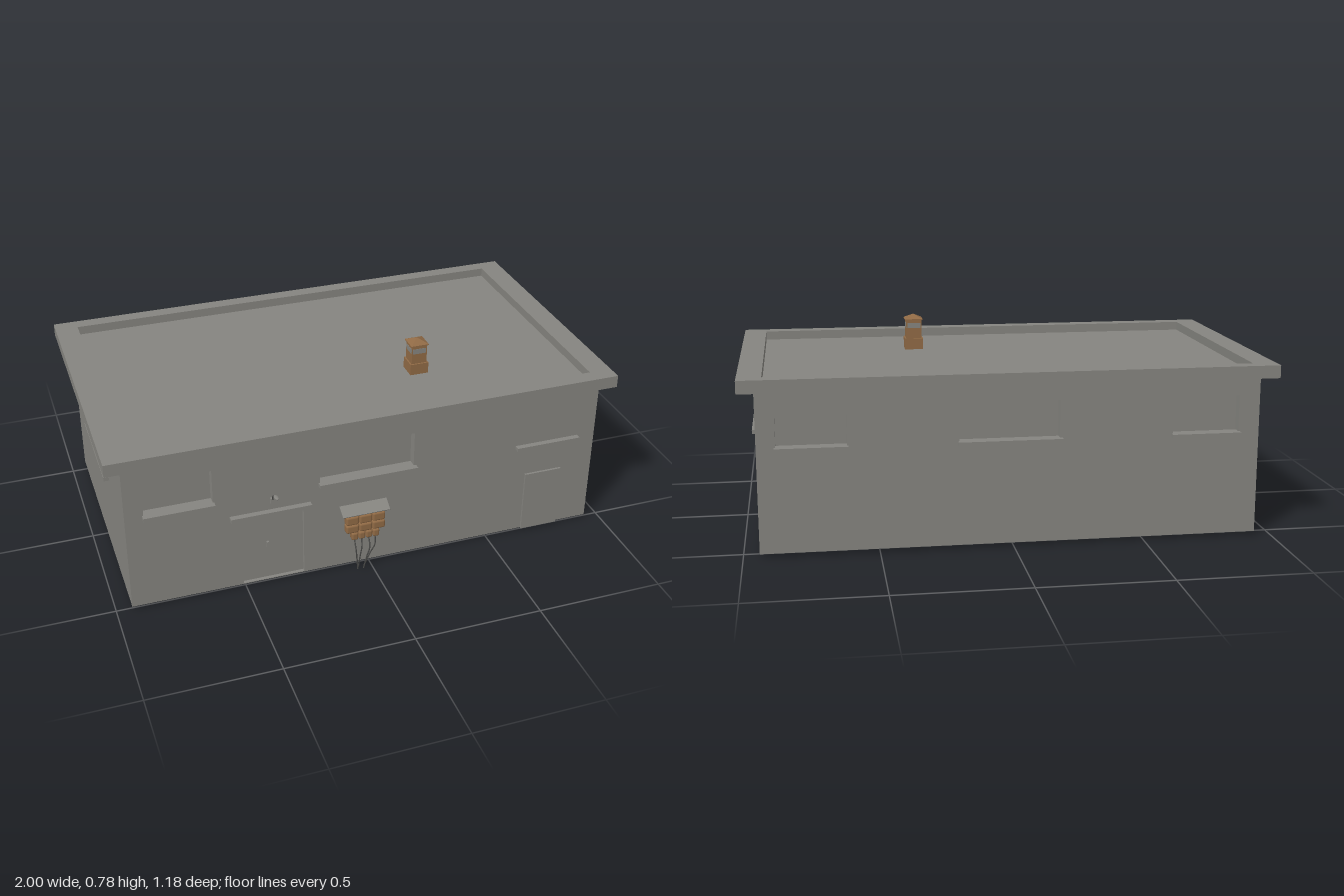
import * as THREE from 'three';
import { RoundedBoxGeometry } from 'three/addons/geometries/RoundedBoxGeometry.js';

const material = (name, color) => {
  const m = new THREE.MeshStandardMaterial({ color });
  m.name = name;
  return m;
};

export function createModel() {
  const concrete = material('concrete', 0x85847f);
  const brick = material('brownBrick', 0x906a45);
  const cableGrey = material('cableGrey', 0x4a4a48);

  const model = new THREE.Group();
  model.name = 'bunkerHouse';

  const add = (name, geometry, mat, parent = model) => {
    const mesh = new THREE.Mesh(geometry, mat);
    mesh.name = name;
    parent.add(mesh);
    return mesh;
  };
  // Box given by its minimum and maximum on each axis
  const box = (name, x0, x1, y0, y1, z0, z1, mat = concrete, parent = model) => {
    const mesh = add(name, new THREE.BoxGeometry(x1 - x0, y1 - y0, z1 - z0), mat, parent);
    mesh.position.set((x0 + x1) / 2, (y0 + y1) / 2, (z0 + z1) / 2);
    return mesh;
  };
  const rect = (Type, x0, x1, y0, y1) => {
    const s = new Type();
    s.moveTo(x0, y0);
    s.lineTo(x1, y0);
    s.lineTo(x1, y1);
    s.lineTo(x0, y1);
    s.closePath();
    return s;
  };

  // House dimensions
  const X = 0.94, ZF = 0.51, ZB = -0.545, Y0 = 0.015, Y1 = 0.63, T = 0.035;
  box('innerCore', -X + T, X - T, Y0, Y1, ZB + T, ZF - T);

  // Wall seen from outside, with cut openings and projecting sills
  function wall(name, x0, x1, openings, sills, angle, px, pz) {
    const g = new THREE.Group();
    g.name = name;
    const shape = rect(THREE.Shape, x0, x1, Y0, Y1);
    openings.forEach(o => shape.holes.push(rect(THREE.Path, ...o)));
    add(name + 'Panel', new THREE.ExtrudeGeometry(shape, { depth: T, bevelEnabled: false }), concrete, g);
    sills.forEach(([a, b, y0, y1]) => box('windowSill', a, b, y0, y1, 0.005, T + 0.022, concrete, g));
    g.rotation.y = angle;
    g.position.set(px, 0, pz);
    model.add(g);
  }
  const small = [-0.87, -0.613, 0.412, 0.552];
  const wide = [-0.203, 0.173, 0.412, 0.557];
  const last = [0.605, 0.86, 0.412, 0.552];
  const sills = [
    [-0.875, -0.608, 0.4, 0.414],
    [-0.208, 0.183, 0.4, 0.414],
    [0.6, 0.866, 0.4, 0.414],
  ];
  const door = [-0.508, -0.267, 0.018, 0.322];
  wall('frontWall', -X, X, [small, wide, door], sills, 0, 0, ZF - T);
  wall('backWall', -X, X, [small, wide, last], sills, Math.PI, 0, ZB + T);
  wall('leftWall', -ZF + T, -ZB - T, [[-0.19, 0.235, 0.407, 0.547]],
    [[-0.192, 0.237, 0.394, 0.409]], Math.PI / 2, X - T, 0);
  wall('rightWall', ZB + T, ZF - T, [[-0.205, 0.212, 0.407, 0.547]],
    [[-0.207, 0.215, 0.394, 0.409]], -Math.PI / 2, -X + T, 0);

  // Flat roof with raised rim
  const rim = rect(THREE.Shape, -1, 1, -0.54, 0.59);
  rim.holes.push(rect(THREE.Path, -0.91, 0.91, -0.48, 0.535));
  const parapet = add('roofRim', new THREE.ExtrudeGeometry(rim, { depth: 0.049, bevelEnabled: false }), concrete);
  parapet.rotation.x = -Math.PI / 2;
  parapet.position.y = 0.623;
  box('roofDeck', -0.92, 0.92, 0.624, 0.637, -0.54, 0.485);

  // Doors, lintel and handle
  box('frontDoor', -0.508, -0.267, 0.018, 0.322, ZF - T, ZF - 0.014);
  box('doorLintel', -0.553, -0.24, 0.32, 0.337, ZF - 0.01, ZF + 0.023);
  box('sideDoor', 0.65, 0.805, Y0, 0.275, ZF - 0.01, ZF + 0.009);
  box('doorHandle', -0.412, -0.403, 0.16, 0.185, ZF - 0.016, ZF - 0.004);

  // Chimney on the roof
  const chimney = new THREE.Group();
  chimney.name = 'chimney';
  chimney.position.set(0.303, 0, 0.186);
  model.add(chimney);
  const square = (name, h, y0, y1, mat) => box(name, -h, h, y0, y1, -h, h, mat, chimney);
  square('chimneyBase', 0.037, 0.637, 0.682, brick);
  square('chimneyStack', 0.031, 0.682, 0.762, brick);
  for (let i = 0; i < 4; i++) {
    const vent = add('chimneyVent', new THREE.BoxGeometry(0.054, 0.021, 0.003), concrete, chimney);
    vent.position.set(Math.sin(i * Math.PI / 2) * 0.0305, 0.735, Math.cos(i * Math.PI / 2) * 0.0305);
    vent.rotation.y = i * Math.PI / 2;
  }
  const capGeometry = new THREE.ConeGeometry(0.036 * Math.SQRT2, 0.018, 4).rotateY(Math.PI / 4).toNonIndexed();
  capGeometry.computeVertexNormals();
  add('chimneyCap', capGeometry, brick, chimney).position.y = 0.771;
  square('chimneyCapEdge', 0.036, 0.758, 0.762, brick);

  // Rounded blocks stacked against the wall
  const stack = new THREE.Group();
  stack.name = 'blockStack';
  model.add(stack);
  [[3, 0.16, 0.231, 0.038], [3, 0.16, 0.193, 0.036], [4, 0.115, 0.157, 0.034]].forEach(([n, w, y, h]) => {
    for (let i = 0; i < n; i++) {
      const block = add('roundedBlock', new RoundedBoxGeometry(w / n - 0.002, h, 0.034, 2, 0.008), brick, stack);
      block.position.set(-0.028 + (i - (n - 1) / 2) * w / n, y, 0.527);
    }
  });

  // Sloping canopy above the blocks
  const canopy = add('canopy', new THREE.BoxGeometry(0.19, 0.004, 0.052), concrete);
  canopy.position.set(-0.03, 0.275, 0.531);
  canopy.rotation.x = 0.5;

  // Cables hanging from the blocks to the ground
  [[-0.072, -0.06, 0.545], [-0.042, -0.053, 0.532], [-0.014, -0.036, 0.545], [0.013, -0.03, 0.532]].forEach(([a, b, z]) => {
    const path = new THREE.CatmullRomCurve3([
      new THREE.Vector3(a, 0.15, 0.53),
      new THREE.Vector3(a * 0.95 + b * 0.05, 0.105, z + 0.008),
      new THREE.Vector3((a + b) / 2, 0.06, z + 0.004),
      new THREE.Vector3(b, 0.003, z),
    ]);
    add('cable', new THREE.TubeGeometry(path, 14, 0.0028, 6), cableGrey);
  });

  // Lamp over the front door
  const lamp = new THREE.Group();
  lamp.name = 'wallLamp';
  lamp.position.x = -0.389;
  model.add(lamp);
  box('lampPlate', -0.008, 0.008, 0.366, 0.39, ZF - 0.005, ZF + 0.01, concrete, lamp);
  const arm = new THREE.CatmullRomCurve3([
    new THREE.Vector3(0, 0.378, 0.515),
    new THREE.Vector3(0, 0.402, 0.524),
    new THREE.Vector3(0, 0.414, 0.54),
    new THREE.Vector3(0, 0.422, 0.556),
  ]);
  add('lampArm', new THREE.TubeGeometry(arm, 12, 0.0035, 6), cableGrey, lamp);
  const head = add('lampHead', new THREE.SphereGeometry(1, 12, 8), concrete, lamp);
  head.scale.set(0.009, 0.005, 0.022);
  head.position.set(0, 0.426, 0.568);
  head.rotation.x = -0.15;

  return model;
}
